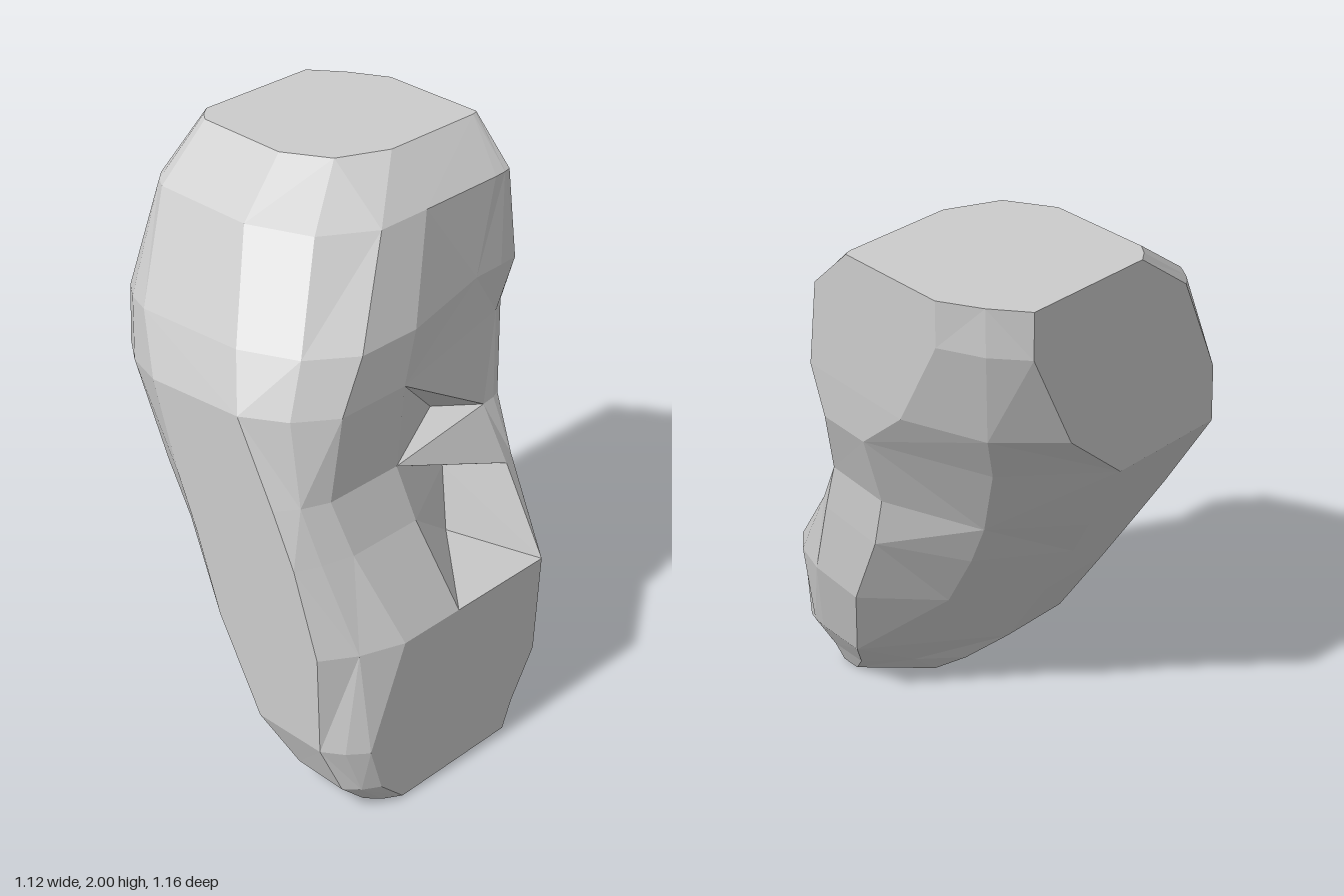
import * as THREE from 'three';

// Near-horizontal sections, bottom to top. Each section is a box with cut corners:
// y | front: xLeft, xRight, z, z at xRight | right: x, zFront, zBack
//   | back: z, xRight, xLeft | left: x, zBack, zFront
const sections = [
  [0, -0.3, 0.19, 0.58, 0.58, 0.2, 0.57, 0.5, 0.3, 0, -0.25, -0.4, 0.4, 0.5],
  [0.1, -0.4, 0.23, 0.58, 0.58, 0.245, 0.56, 0.42, 0.18, -0.04, -0.32, -0.5, 0.3, 0.5],
  [0.27, -0.45, 0.33, 0.58, 0.58, 0.345, 0.5, 0.32, 0.03, -0.1, -0.36, -0.56, 0.18, 0.46],
  [0.63, -0.3, 0.35, 0.58, 0.58, 0.44, 0.4, 0.2, -0.145, -0.1, -0.38, -0.56, 0, 0.45],
  [0.92, -0.37, 0.36, 0.42, 0.4, 0.45, 0.32, 0.08, -0.295, -0.08, -0.39, -0.56, -0.1, 0.35],
  [1.1, -0.4, 0.36, 0.35, 0.29, 0.45, 0.27, 0.04, -0.4, -0.04, -0.4, -0.56, -0.18, 0.26],
  [1.38, -0.35, 0.36, 0.35, 0.25, 0.55, 0.18, 0, -0.58, 0.02, -0.4, -0.56, -0.28, 0.11],
  [1.55, -0.25, 0.36, 0.335, 0.24, 0.555, 0.23, -0.18, -0.58, 0.24, -0.39, -0.485, -0.4, 0.03],
  [1.85, -0.04, 0.48, 0.205, 0.2, 0.555, 0.19, -0.34, -0.58, 0.4, -0.24, -0.305, -0.5, -0.12],
  [2, 0.16, 0.53, 0.05, 0.05, 0.555, 0.04, -0.34, -0.58, 0.4, -0.04, -0.1, -0.52, -0.18],
];

// Turns a section into a 13-point ring with bulged corners, sagging toward the back
function makeRing([y, fl, fr, fz, frz, rx, rf, rb, bz, br, bl, lx, lb, lf]) {
  const sag = 0.13 * Math.sin(y * Math.PI / 2) ** 2;
  const v = (x, z) => new THREE.Vector3(x, y - sag * ((fz - z) / (fz - bz)) ** 2, z);
  const corner = (a, b, c, bulge) => a.clone().add(b).multiplyScalar(0.5).lerp(c, bulge);
  const backRight = 0.25 * Math.max(0, Math.sin(Math.PI * (y - 0.4) / 1.8));
  const frontLeft = THREE.MathUtils.mapLinear(THREE.MathUtils.clamp(y, 1.2, 1.7), 1.2, 1.7, 0.14, 0.32);
  const f0 = v(fl, fz), f1 = v(fl + (fr - fl) * 0.38, fz), f2 = v(fr, frz);
  const r0 = v(rx, rf), r1 = v(rx, rb);
  const b0 = v(br, bz), b1 = v(bl, bz);
  const l0 = v(lx, lb), l1 = v(lx, lf);
  return [
    f0, f1, f2, corner(f2, r0, v(rx, frz), 0.25),
    r0, r1, corner(r1, b0, v(rx, bz), backRight),
    b0, b1, corner(b1, l0, v(lx, bz), 0.15),
    l0, l1, corner(l1, f0, v(lx, fz), frontLeft),
  ];
}

function meshFromTriangles(name, points, material) {
  const geometry = new THREE.BufferGeometry().setFromPoints(points);
  geometry.computeVertexNormals();
  const mesh = new THREE.Mesh(geometry, material);
  mesh.name = name;
  return mesh;
}

export function createModel() {
  const group = new THREE.Group();
  group.name = 'boulder';
  const material = new THREE.MeshStandardMaterial({ color: 0xcccccc, flatShading: true });
  const rings = sections.map(makeRing);
  const count = rings[0].length;

  // Faceted body, left open where the front is notched
  const body = [];
  for (let k = 0; k < rings.length - 1; k++) {
    for (let i = 0; i < count; i++) {
      if (i === 1 && k >= 3 && k <= 5) continue;
      const j = (i + 1) % count;
      const a = rings[k][i], b = rings[k][j], c = rings[k + 1][j], d = rings[k + 1][i];
      if ((i + k) % 2) body.push(a, b, c, a, c, d);
      else body.push(a, b, d, b, c, d);
    }
  }

  // Flat base and flat top
  const bottom = rings[0], top = rings[rings.length - 1];
  for (let i = 1; i < count - 1; i++) {
    body.push(bottom[0], bottom[i + 1], bottom[i], top[0], top[i], top[i + 1]);
  }
  group.add(meshFromTriangles('body', body, material));

  // Two wedge-shaped notches in the front, with a spur between them
  const [m0, m1, m2, m3] = [3, 4, 5, 6].map((k) => rings[k][1]);
  const [r0, r1, r2, r3] = [3, 4, 5, 6].map((k) => rings[k][2]);
  const lowIn = new THREE.Vector3(0.15, 0.72, 0.33);
  const midIn = new THREE.Vector3(0.2, 0.92, 0.26);
  const highIn = new THREE.Vector3(0.2, 1.12, 0.2);
  group.add(meshFromTriangles('lowerNotch', [
    m0, r0, lowIn, // ledge
    m0, lowIn, m1, lowIn, midIn, m1, midIn, m2, m1, // left wall
    r0, r1, midIn, r0, midIn, lowIn, // right wall
    m2, midIn, r1, // roof
  ], material));
  group.add(meshFromTriangles('spur', [m2, r1, r2], material));
  group.add(meshFromTriangles('upperNotch', [
    m2, r2, highIn, // ledge
    m2, highIn, m3, // left wall
    m3, highIn, r2, // roof
    m3, r2, r3, // brow
  ], material));

  return group;
}
